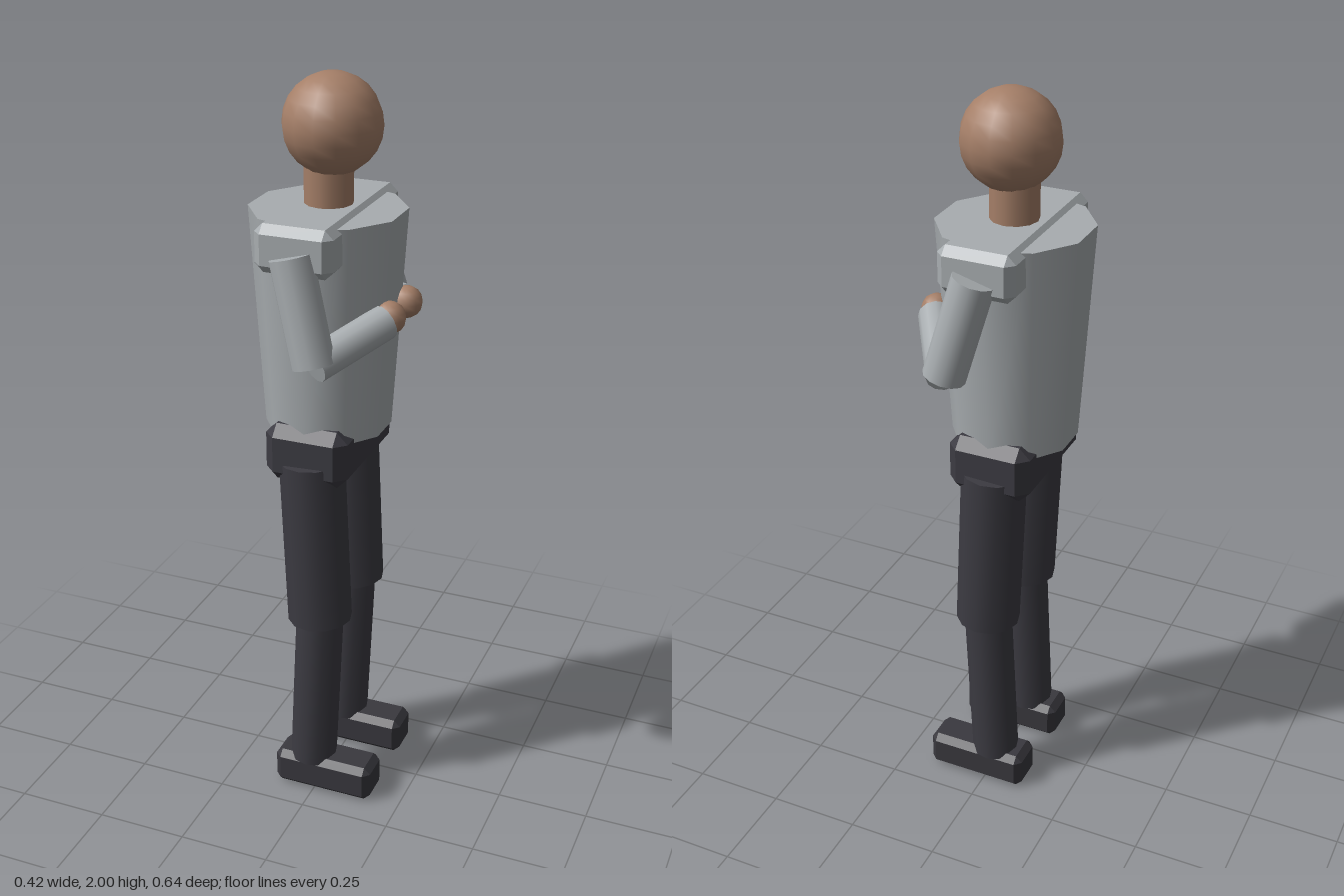
import * as THREE from 'three';
import { ConvexGeometry } from 'three/addons/geometries/ConvexGeometry.js';

const material = (name, color) => {
  const m = new THREE.MeshStandardMaterial({ color });
  m.name = name;
  return m;
};

// Box from min to max corner, with every edge chamfered by c
function chamferBox(min, max, c) {
  const centre = [0, 1, 2].map(i => (min[i] + max[i]) / 2);
  const half = [0, 1, 2].map(i => (max[i] - min[i]) / 2);
  const points = [];
  for (const sx of [-1, 1]) for (const sy of [-1, 1]) for (const sz of [-1, 1]) {
    const s = [sx, sy, sz];
    for (let face = 0; face < 3; face++) {
      points.push(new THREE.Vector3(
        ...s.map((sign, i) => centre[i] + sign * (half[i] - (i === face ? 0 : c)))));
    }
  }
  return new ConvexGeometry(points);
}

// Straight cylinder running between two points
function limb(from, to, rFrom, rTo = rFrom, sides = 12) {
  const a = new THREE.Vector3(...from), b = new THREE.Vector3(...to);
  const dir = b.clone().sub(a);
  const geo = new THREE.CylinderGeometry(rTo, rFrom, dir.length(), sides);
  geo.applyQuaternion(new THREE.Quaternion().setFromUnitVectors(
    new THREE.Vector3(0, 1, 0), dir.clone().normalize()));
  const mid = a.add(b).multiplyScalar(0.5);
  return geo.translate(mid.x, mid.y, mid.z);
}

export function createModel() {
  const skin = material('skin', 0xa57f68);
  const shirt = material('shirt', 0xa8adb0);
  const trousers = material('trousers', 0x3c3b42);
  const shoes = material('shoes', 0x39383e);

  const model = new THREE.Group();
  model.name = 'standingFigure';
  const add = (name, geo, mat, parent = model) => {
    const mesh = new THREE.Mesh(geo, mat);
    mesh.name = name;
    parent.add(mesh);
    return mesh;
  };

  // Head and neck; the figure looks along +x
  add('head', new THREE.SphereGeometry(0.127, 14, 12).rotateY(Math.PI / 2)
    .translate(-0.008, 1.873, 0), skin);
  add('neck', limb([-0.018, 1.62, 0], [-0.018, 1.78, 0], 0.063), skin);

  // Tapered trunk, shoulder bar and hips
  add('torso', limb([-0.02, 1.08, 0], [-0.02, 1.664, 0], 0.166, 0.202, 10), shirt);
  add('shoulders', chamferBox([-0.122, 1.552, -0.243], [0.084, 1.675, 0.243], 0.022), shirt);
  add('hips', chamferBox([-0.132, 0.965, -0.184], [0.095, 1.122, 0.184], 0.03), trousers);

  // Paired limbs; the figure's own left side is -z
  for (const s of [-1, 1]) {
    const side = s < 0 ? 'left' : 'right';

    const arm = new THREE.Group();
    arm.name = side + 'Arm';
    model.add(arm);
    const elbow = [0.05, 1.347, s * 0.266];
    add(side + 'UpperArm', limb([-0.02, 1.605, s * 0.237], elbow, 0.055), shirt, arm);
    add(side + 'Forearm', limb(elbow, [0.165, 1.411, s * 0.08], 0.045), shirt, arm);
    add(side + 'Hand', new THREE.SphereGeometry(0.042, 10, 8)
      .translate(0.17, 1.417, s * 0.062), skin, arm);

    const leg = new THREE.Group();
    leg.name = side + 'Leg';
    model.add(leg);
    add(side + 'Thigh', limb([-0.017, 1.02, s * 0.122], [0.004, 0.549, s * 0.122], 0.087), trousers, leg);
    add(side + 'Shin', limb([0.004, 0.56, s * 0.122], [-0.017, 0.09, s * 0.122], 0.065), trousers, leg);
    add(side + 'Foot', chamferBox([-0.116, 0, s * 0.122 - 0.056], [0.168, 0.105, s * 0.122 + 0.056], 0.018), shoes, leg);
  }
  return model;
}
